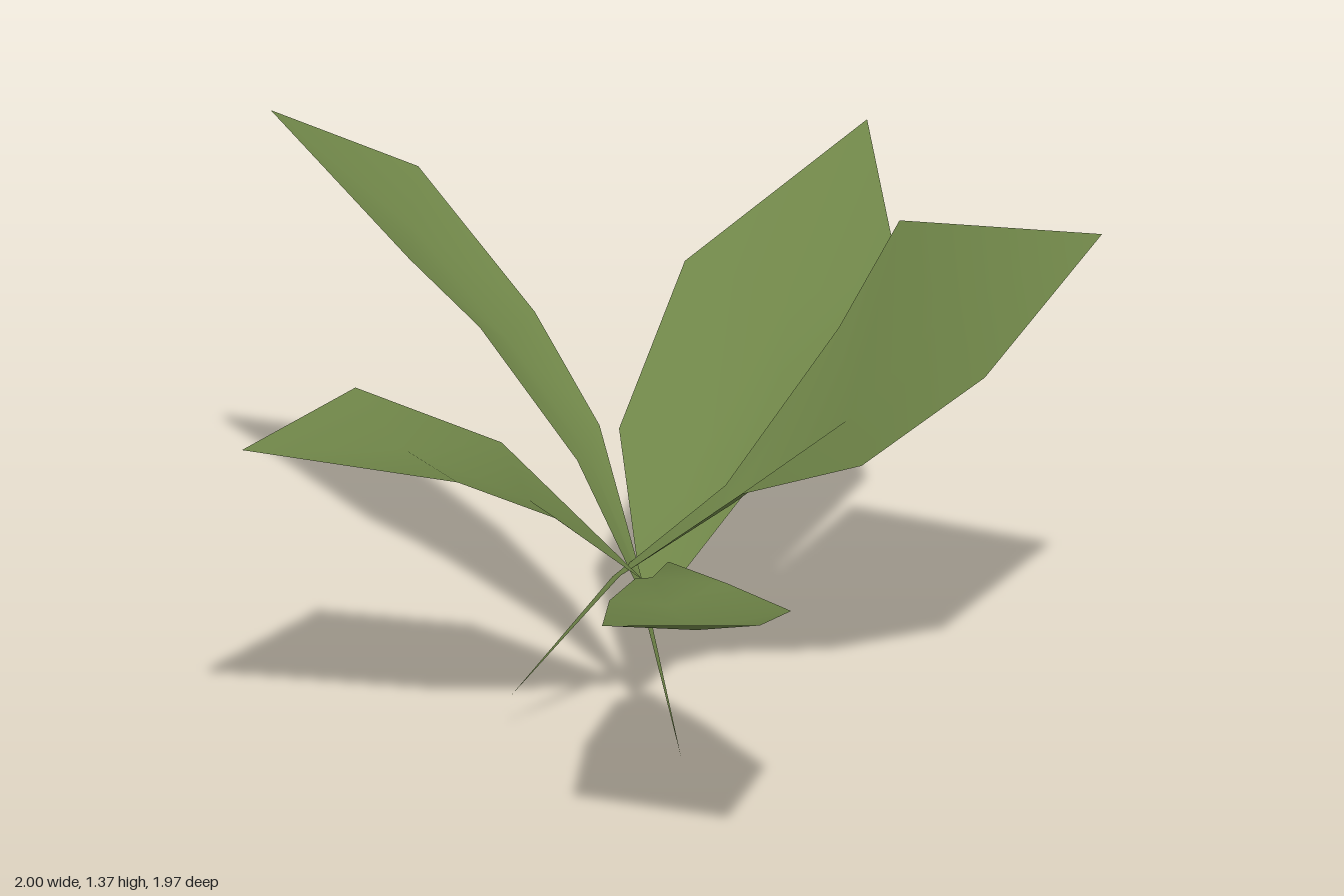
import * as THREE from 'three';

const leafMaterial = new THREE.MeshStandardMaterial({ color: 0x6f8548, side: THREE.DoubleSide });

// A leaf runs from its root point, through rows of [left edge, right edge, sag], to its tip.
// The midrib of each row hangs below the middle of the two edges by the sag.
function makeLeaf(name, root, rows, tip) {
  const points = [root];
  for (const [left, right, sag] of rows) {
    const rib = left.map((v, k) => (v + right[k]) / 2);
    rib[1] -= sag;
    points.push(left, rib, right);
  }
  points.push(tip);

  const last = points.length - 1;
  const index = [];
  for (let side = 0; side < 2; side++) {
    index.push(0, 2 + side, 1 + side);
    for (let row = 0; row < rows.length - 1; row++) {
      const a = 1 + row * 3 + side;
      index.push(a, a + 1, a + 3, a + 1, a + 4, a + 3);
    }
    index.push(last - 3 + side, last - 2 + side, last);
  }

  const geometry = new THREE.BufferGeometry();
  geometry.setAttribute('position', new THREE.Float32BufferAttribute(points.flat(), 3));
  geometry.setIndex(index);
  geometry.computeVertexNormals();
  const leaf = new THREE.Mesh(geometry, leafMaterial);
  leaf.name = name;
  return leaf;
}

export function createModel() {
  const plant = new THREE.Group();
  plant.name = 'leafyPlant';

  // Tall back leaf, whose stalk reaches the ground
  plant.add(makeLeaf('backLeaf', [0.02, 0, 0.08], [
    [[-0.035, 0.42, -0.01], [-0.012, 0.42, -0.02], 0],
    [[-0.11, 0.72, -0.14], [-0.02, 0.77, -0.17], 0.03],
    [[-0.22, 1.01, -0.36], [-0.01, 0.96, -0.42], 0.05],
    [[-0.29, 1.14, -0.53], [-0.04, 1.19, -0.81], 0.04],
  ], [-0.33, 1.355, -0.99]));

  // Wide leaf on the left side
  plant.add(makeLeaf('leftLeaf', [-0.03, 0.34, 0.01], [
    [[0.19, 0.62, -0.36], [0.37, 0.61, -0.03], 0.06],
    [[0.52, 0.88, -0.53], [0.84, 0.89, -0.14], 0.065],
  ], [1, 1.12, -0.46]));

  // Tallest front leaf, with a stalk slanting backwards
  plant.add(makeLeaf('frontLeftLeaf', [-0.226, 0.11, -0.24], [
    [[-0.07, 0.44, -0.06], [-0.08, 0.46, -0.02], 0],
    [[0.15, 0.66, 0.08], [0.10, 0.70, 0.20], 0.035],
    [[0.46, 0.98, 0.11], [0.27, 0.81, 0.43], 0.055],
    [[0.55, 1.27, 0.22], [0.40, 1.11, 0.72], 0.04],
  ], [0.745, 1.37, 0.72]));

  // Low front leaf that bends outwards
  plant.add(makeLeaf('frontRightLeaf', [-0.03, 0.34, 0], [
    [[-0.09, 0.575, 0.17], [-0.17, 0.55, 0.15], 0.02],
    [[-0.11, 0.62, 0.41], [-0.40, 0.64, 0.34], 0.035],
    [[-0.17, 0.69, 0.72], [-0.63, 0.75, 0.60], 0.03],
  ], [-0.47, 0.85, 0.98]));

  // Leaf on the right side
  plant.add(makeLeaf('rightLeaf', [-0.04, 0.45, 0.02], [
    [[-0.37, 0.75, 0.11], [-0.30, 0.81, -0.18], 0.05],
    [[-0.63, 0.91, 0.07], [-0.61, 0.99, -0.33], 0.04],
  ], [-1, 0.98, -0.26]));

  return plant;
}
